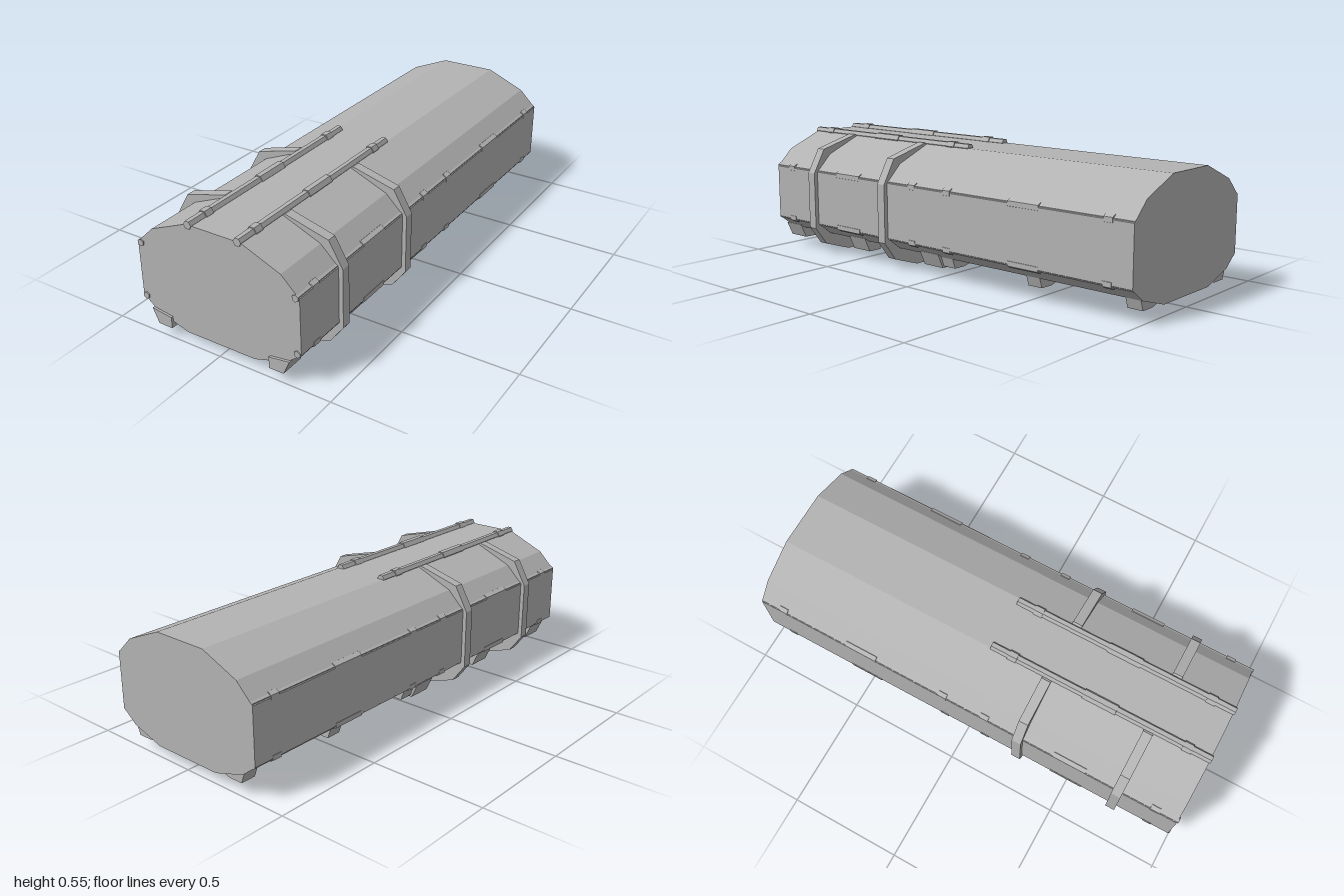
import * as THREE from 'three';

const gray = new THREE.MeshStandardMaterial({ color: 0xb3b3b3 });

// Extrudes an x/y outline from z0 to z1
function slab(name, points, z0, z1) {
  const shape = new THREE.Shape(points.map(([x, y]) => new THREE.Vector2(x, y)));
  const geo = new THREE.ExtrudeGeometry(shape, { depth: z1 - z0, bevelEnabled: false });
  geo.translate(0, 0, z0);
  const mesh = new THREE.Mesh(geo, gray);
  mesh.name = name;
  return mesh;
}

// Completes a right-hand half outline with its mirror image
const mirrored = (half) => [...half, ...half.map(([x, y]) => [-x, y]).reverse()];

// Six-sided bar along z
function hexBar(name, r, x, y, z0, z1, start) {
  const geo = new THREE.CylinderGeometry(r, r, z1 - z0, 6, 1, false, start).toNonIndexed();
  geo.rotateX(Math.PI / 2);
  geo.computeVertexNormals();
  const mesh = new THREE.Mesh(geo, gray);
  mesh.name = name;
  mesh.position.set(x, y, (z0 + z1) / 2);
  return mesh;
}

// Bar with thicker sleeves given as [centre, length]
function hinge(name, x, y, z0, z1, r, sleeveR, sleeves, start) {
  const group = new THREE.Group();
  group.name = name;
  group.add(hexBar('rod', r, x, y, z0, z1, start));
  for (const [z, len] of sleeves)
    group.add(hexBar('sleeve', sleeveR, x, y, z - len / 2, z + len / 2, start));
  return group;
}

export function createModel() {
  const model = new THREE.Group();

  // Faceted container body
  model.add(slab('body', mirrored([
    [0.16, 0.047], [0.305, 0.092], [0.372, 0.145],
    [0.372, 0.385], [0.295, 0.46], [0.125, 0.531],
  ]), -1, 0.99));

  // Two straps, sunk flush between the top rods
  const strap = mirrored([
    [0.2, 0.002], [0.33, 0.045], [0.39, 0.125], [0.39, 0.38],
    [0.33, 0.485], [0.14, 0.536], [0.115, 0.525],
  ]);
  for (const z of [0.265, 0.725]) model.add(slab('strap', strap, z - 0.021, z + 0.021));

  const frontSleeves = [[0.89, 0.04], [0.5, 0.15], [0.1, 0.04]];
  const allSleeves = [...frontSleeves, ...frontSleeves.map(([z, l]) => [-z, l])];
  for (const s of [1, -1]) {
    const side = s > 0 ? 'left' : 'right';
    // Rods on the front half of the lid
    model.add(hinge(side + 'TopRod', s * 0.113, 0.532, 0, 0.995, 0.018, 0.0225,
      frontSleeves, Math.PI / 6));
    // Full-length rods on the upper and lower side edges
    model.add(hinge(side + 'UpperSideRod', s * 0.356, 0.384, -1, 0.995, 0.015, 0.02, allSleeves, 0));
    model.add(hinge(side + 'LowerSideRod', s * 0.356, 0.147, -1, 0.995, 0.015, 0.02, allSleeves, 0));

    // Large feet under the front half, each with a small inner tab
    for (const [z0, z1] of [[0.895, 1], [0.445, 0.55], [-0.008, 0.098]]) {
      model.add(slab(side + 'Foot', [
        [0.232 * s, 0.043], [0.297 * s, 0.043], [0.325 * s, 0.105], [0.232 * s, 0.092],
      ], z0, z1));
      model.add(slab(side + 'FootTab', [
        [0.16 * s, 0.046], [0.2 * s, 0.056], [0.235 * s, 0.056], [0.235 * s, 0.08], [0.16 * s, 0.08],
      ], z0 + 0.03, z1 - 0.03));
    }
    // Smaller feet under the rear half
    for (const z of [-0.04, -0.5, -0.96])
      model.add(slab(side + 'RearFoot', [
        [0.2 * s, 0.057], [0.23 * s, 0.05], [0.29 * s, 0.05], [0.305 * s, 0.092], [0.2 * s, 0.085],
      ], z - 0.033, z + 0.033));
  }
  return model;
}
